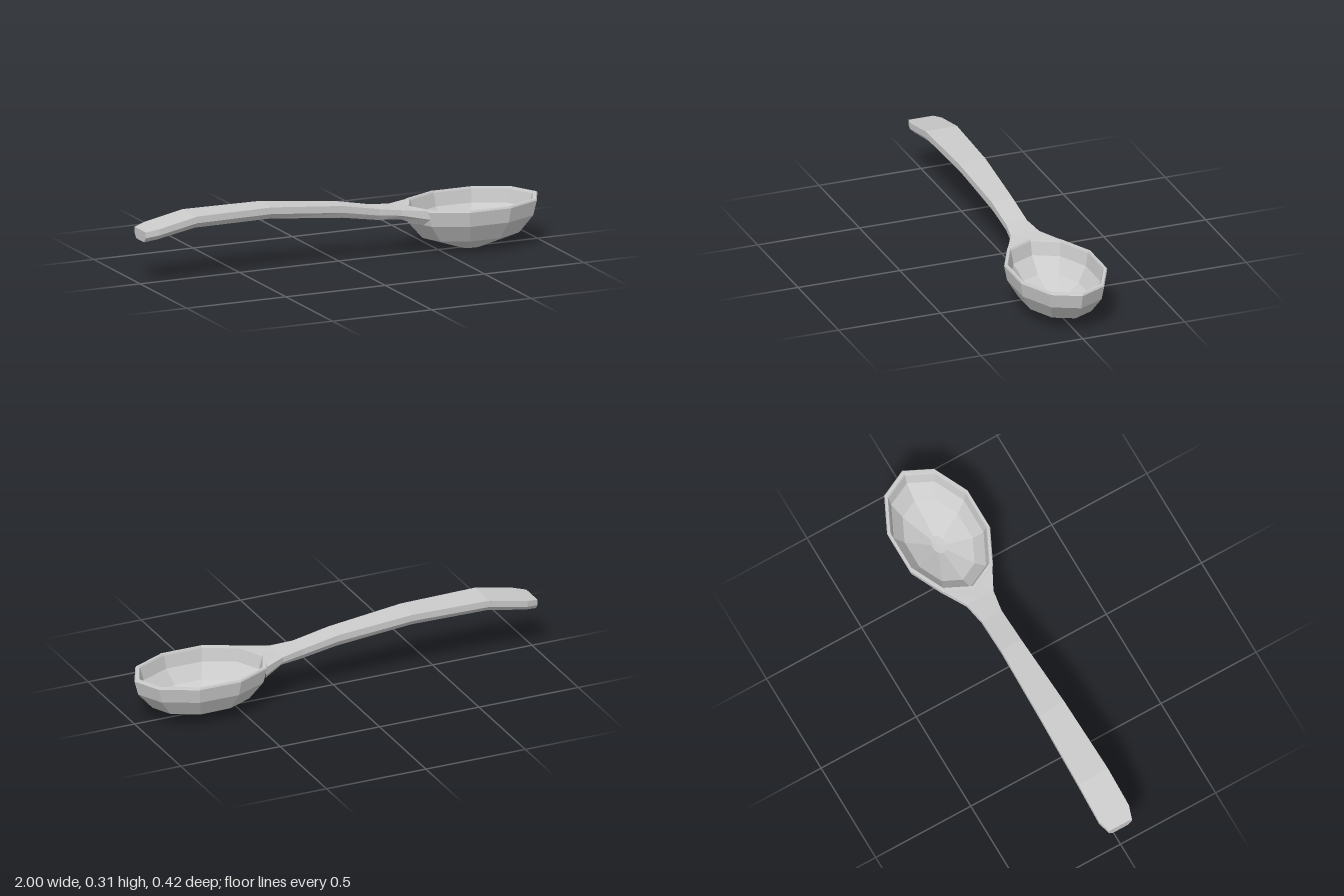
import * as THREE from 'three';

const material = new THREE.MeshStandardMaterial({ color: 0xcccccc, flatShading: true });

// Ten-sided oval bowl: outer wall up to the rim, then the inner wall back down
function makeBowl() {
  const profile = [
    [0, 0], [0.165, 0], [0.73, 0.064], [0.945, 0.145], [1, 0.214], [0.985, 0.222],
    [0.935, 0.222], [0.92, 0.214], [0.87, 0.152], [0.66, 0.085], [0.14, 0.026], [0, 0.024],
  ].map(([r, y]) => new THREE.Vector2(r, y));
  const geometry = new THREE.LatheGeometry(profile, 10, Math.PI / 2);
  geometry.scale(0.335, 1, 0.223);
  geometry.translate(0.665, 0, 0);
  const bowl = new THREE.Mesh(geometry, material);
  bowl.name = 'bowl';
  return bowl;
}

// Curved handle lofted through sections with a flat top and a chamfered underside
function makeHandle() {
  // x, top, bottom, half width, backward sweep of the middle (follows the bowl wall)
  const sections = [
    [-1, 0.255, 0.205, 0.06, 0],
    [-0.94, 0.268, 0.215, 0.079, 0],
    [-0.75, 0.307, 0.25, 0.078, 0],
    [-0.37, 0.307, 0.25, 0.067, 0],
    [0, 0.271, 0.212, 0.053, 0],
    [0.18, 0.236, 0.182, 0.052, 0],
    [0.285, 0.224, 0.177, 0.07, 0],
    [0.4, 0.22, 0.148, 0.13, 0.055],
  ];
  // Across the section: share of half width, share of height
  const outline = [
    [0, 1], [1, 1], [1, 0.45], [0.7, 0], [0, 0], [-0.7, 0], [-1, 0.45], [-1, 1],
  ];
  const n = outline.length;
  const positions = [];
  const index = [];
  for (const [x, top, bottom, half, sweep] of sections) {
    for (const [w, h] of outline) {
      positions.push(x - sweep * (1 - Math.abs(w)), bottom + (top - bottom) * h, half * w);
    }
  }
  for (let i = 0; i < sections.length - 1; i++) {
    for (let j = 0; j < n; j++) {
      const a = i * n + j;
      const c = i * n + (j + 1) % n;
      index.push(a, c, a + n, c, c + n, a + n);
    }
  }
  // Cap on the free end
  for (let j = 1; j < n - 1; j++) index.push(0, j + 1, j);

  const geometry = new THREE.BufferGeometry();
  geometry.setAttribute('position', new THREE.Float32BufferAttribute(positions, 3));
  geometry.setIndex(index);
  geometry.computeVertexNormals();
  const handle = new THREE.Mesh(geometry, material);
  handle.name = 'handle';
  return handle;
}

export function createModel() {
  const spoon = new THREE.Group();
  spoon.name = 'spoon';
  spoon.add(makeBowl(), makeHandle());
  return spoon;
}
